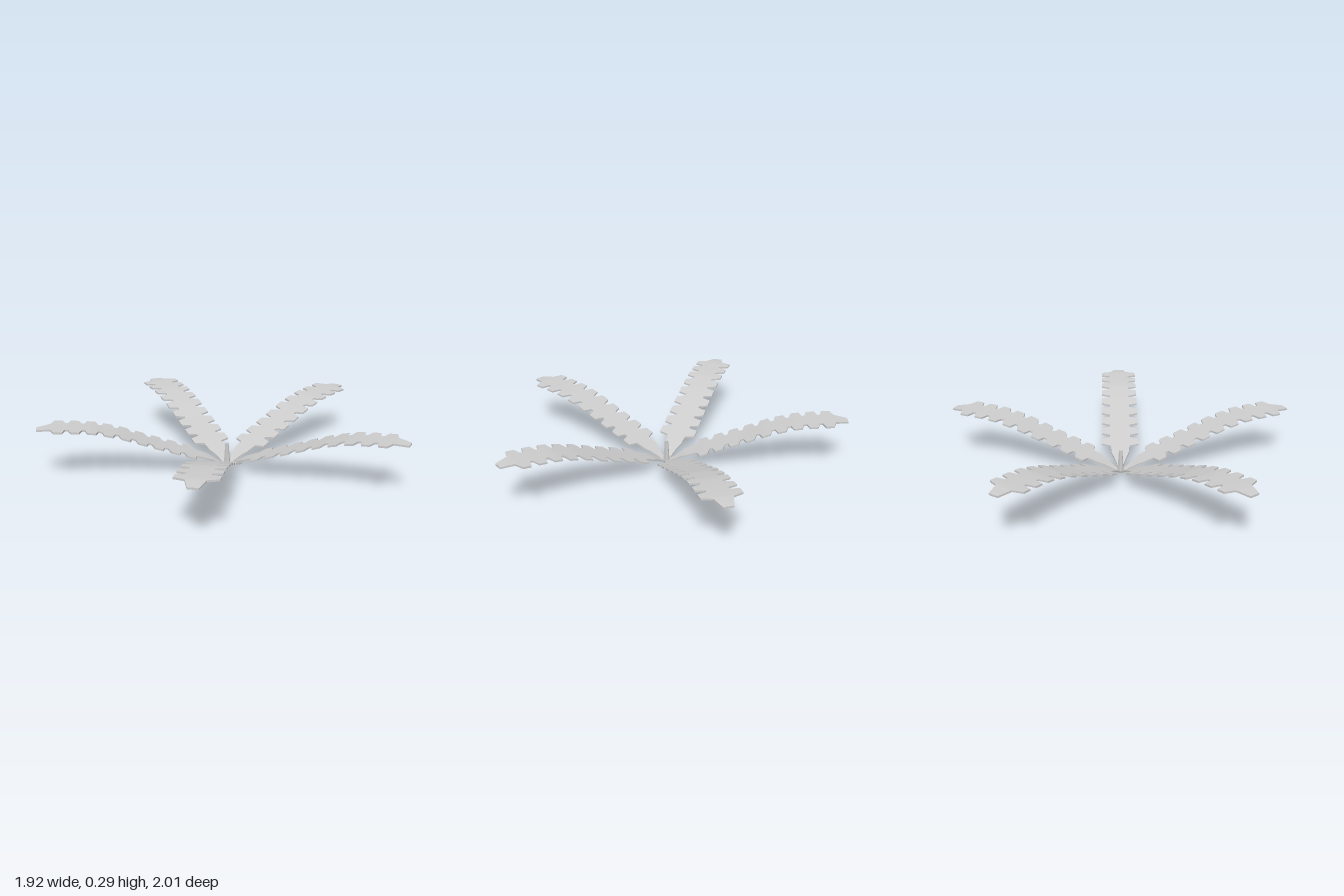
import * as THREE from 'three';
import { toCreasedNormals } from 'three/addons/utils/BufferGeometryUtils.js';

const CENTER_X = -0.1;
const THICKNESS = 0.01;

// Arch of a frond: distance from the centre, height
const ARCH = [[0, 0], [0.03, 0.012], [0.1, 0.056], [0.22, 0.1], [0.41, 0.165],
  [0.605, 0.235], [0.74, 0.269], [0.85, 0.28], [0.97, 0.287], [1.05, 0.278]];

function archHeight(r) {
  let i = 1;
  while (i < ARCH.length - 1 && ARCH[i][0] < r) i++;
  const [r0, y0] = ARCH[i - 1], [r1, y1] = ARCH[i];
  return y0 + (y1 - y0) * (r - r0) / (r1 - r0);
}

// Outline of a frond: distance from the centre, half width
function frondOutline() {
  const out = [[0.01, 0.014], [0.05, 0.02], [0.09, 0.036], [0.12, 0.05], [0.18, 0.056]];
  for (let i = 0; i < 9; i++) { // nine pairs of leaflets
    const r = 0.217 + i * 0.0895;
    out.push([r - 0.023, 0.11], [r + 0.023, 0.11]);
    if (i < 8) out.push([r + 0.036, 0.06], [r + 0.053, 0.06]);
  }
  out.push([0.975, 0.052], [1.05, 0.028]); // pointed end
  return out;
}

// A thin slab whose sections are moved onto the outline and the arch
function frondGeometry() {
  const outline = frondOutline();
  const n = outline.length - 1;
  const geo = new THREE.BoxGeometry(n, 1, 2, n, 1, 2);
  const p = geo.attributes.position;
  for (let i = 0; i < p.count; i++) {
    const [r, half] = outline[Math.round(p.getX(i) + n / 2)];
    p.setXYZ(i, r, archHeight(r) + (p.getY(i) + 0.5) * THICKNESS - 0.002 * Math.min(1, r * 10),
      p.getZ(i) * half);
  }
  return toCreasedNormals(geo, 0.5);
}

export function createModel() {
  const model = new THREE.Group();
  model.name = 'fern';
  const material = new THREE.MeshStandardMaterial({ color: 0xcccccc });

  // Five fronds around the centre
  const geo = frondGeometry();
  for (let i = 0; i < 5; i++) {
    const frond = new THREE.Mesh(geo, material);
    frond.name = `frond${i + 1}`;
    frond.position.x = CENTER_X;
    frond.rotation.y = i * Math.PI * 2 / 5;
    model.add(frond);
  }

  // Short upright shoot in the middle
  const shootMaterial = material.clone();
  shootMaterial.flatShading = true;
  const shoot = new THREE.Mesh(new THREE.CylinderGeometry(0.01, 0.02, 0.14, 6), shootMaterial);
  shoot.name = 'centreShoot';
  shoot.position.set(CENTER_X, 0.07, 0);
  model.add(shoot);

  return model;
}
